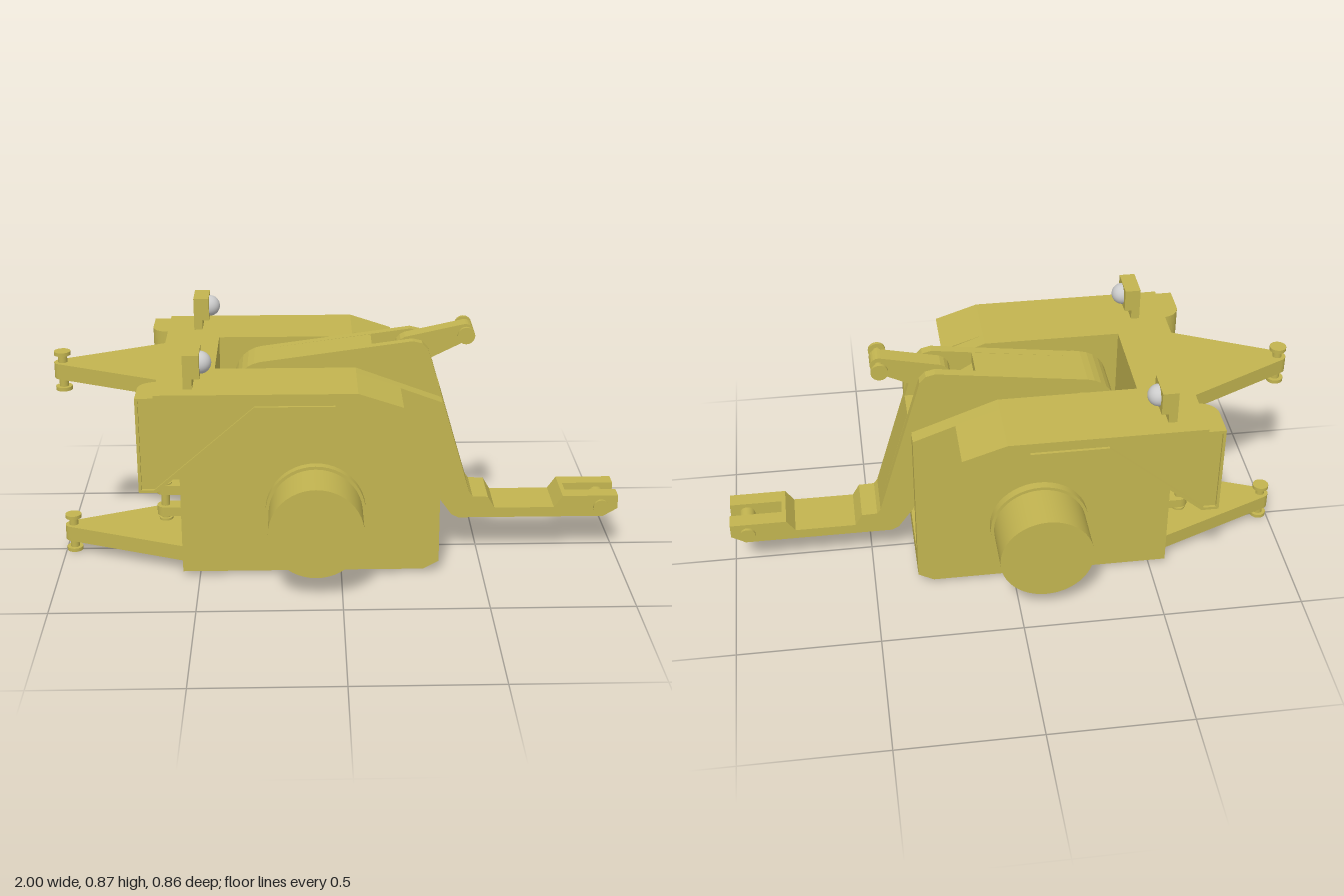
import * as THREE from 'three';

const paint = new THREE.MeshStandardMaterial({ color: 0xc2b450 });
const grey = new THREE.MeshStandardMaterial({ color: 0xcccccc });

const toShape = (pts) => new THREE.Shape(pts.map(([x, y]) => new THREE.Vector2(x, y)));

// Points on an arc, angles in degrees
function arc(cx, cy, r, a0, a1, n = 10) {
  return Array.from({ length: n + 1 }, (_, i) => {
    const a = THREE.MathUtils.degToRad(a0 + ((a1 - a0) * i) / n);
    return [cx + r * Math.cos(a), cy + r * Math.sin(a)];
  });
}

export function createModel() {
  const root = new THREE.Group();

  function add(name, geometry, material = paint) {
    const mesh = new THREE.Mesh(geometry, material);
    mesh.name = name;
    root.add(mesh);
    return mesh;
  }
  // Side profile (x, y) extruded from z0 to z1
  function slab(name, pts, z0, z1, hole) {
    const shape = toShape(pts);
    if (hole) shape.holes.push(toShape(hole));
    const g = new THREE.ExtrudeGeometry(shape, { depth: z1 - z0, bevelEnabled: false });
    return add(name, g.translate(0, 0, z0));
  }
  function slabPair(name, pts, z0, z1, hole) {
    slab(name, pts, z0, z1, hole);
    slab(name, pts, -z1, -z0, hole);
  }
  // Plan outline (x, z) extruded from y0 to y1
  function plate(name, pts, y0, y1) {
    const shape = toShape(pts.map(([x, z]) => [x, -z]));
    const g = new THREE.ExtrudeGeometry(shape, { depth: y1 - y0, bevelEnabled: false });
    return add(name, g.rotateX(-Math.PI / 2).translate(0, y0, 0));
  }
  function box(name, x0, x1, y0, y1, z0, z1) {
    const g = new THREE.BoxGeometry(x1 - x0, y1 - y0, z1 - z0);
    return add(name, g.translate((x0 + x1) / 2, (y0 + y1) / 2, (z0 + z1) / 2));
  }
  function cylZ(name, x, y, r, z0, z1, n = 32) {
    const g = new THREE.CylinderGeometry(r, r, z1 - z0, n).rotateX(Math.PI / 2);
    return add(name, g.translate(x, y, (z0 + z1) / 2));
  }
  function cylY(name, x, z, r, y0, y1) {
    const g = new THREE.CylinderGeometry(r, r, y1 - y0, 24);
    return add(name, g.translate(x, (y0 + y1) / 2, z));
  }

  // Chassis: two side walls and a middle with an open arm slot
  const base = [[-0.56, 0.015], [0.29, 0.015], [0.345, 0.045]];
  const back = [[-0.62, 0.755], [-0.62, 0.37], [-0.56, 0.37]];
  slabPair('chassisSide', [...base, [0.345, 0.645], [0.05, 0.755], ...back], 0.17, 0.225);
  slab('chassisMiddle', [...base, [0.345, 0.115], [-0.43, 0.115], [-0.43, 0.755], ...back], -0.17, 0.17);

  // Fenders: inner wall, pocketed core, outer skin, recessed side frame
  const top = [[0.2, 0.705], [0.05, 0.755], [-0.62, 0.755], [-0.62, 0.41]];
  const fender = [[-0.28, 0.705], ...top];
  const pocketed = [...fender, [-0.591, 0.435], [-0.6, 0.435], [-0.6, 0.66], [-0.332, 0.66]];
  const frame = [[-0.28, 0.705], [0.2, 0.705], [0.05, 0.755], [-0.62, 0.755], [-0.62, 0.745],
    [-0.68, 0.745], [-0.68, 0.41], [-0.62, 0.41]];
  const recess = [[-0.67, 0.735], [-0.15, 0.735], [-0.025, 0.72], [-0.025, 0.711],
    [-0.29, 0.711], [-0.627, 0.42], [-0.67, 0.42]];
  slabPair('fenderInnerWall', fender, 0.225, 0.27);
  slabPair('fenderCore', pocketed, 0.27, 0.41);
  slabPair('fenderSkin', fender, 0.41, 0.42);
  slabPair('fenderFrame', frame, 0.42, 0.43, recess);

  for (const s of [1, -1]) {
    // Rounded rear end of the fender
    const corner = arc(-0.62, 0.33, 0.06, 180, 270).map(([x, z]) => [x, s * z]);
    plate('fenderRear', [[-0.62, s * 0.42], [-0.68, s * 0.42], ...corner], 0.41, 0.745);

    // Axle hub
    const span = (a, b) => (s > 0 ? [a, b] : [-b, -a]);
    cylZ('hubRing', -0.09, 0.25, 0.175, ...span(0.225, 0.255), 48);
    cylZ('hub', -0.09, 0.25, 0.164, ...span(0.255, 0.43), 48);

    // Work light
    slab('lightBracket', [[-0.525, 0.755], [-0.495, 0.755], [-0.495, 0.79], [-0.47, 0.79],
      [-0.47, 0.872], [-0.525, 0.872]], ...span(0.26, 0.375));
    add('lightLens', new THREE.SphereGeometry(0.038, 32, 20).translate(-0.47, 0.83, s * 0.317), grey);

    // Small rear bracket with pin
    const z = s * 0.13;
    for (const y of [0.2, 0.282]) {
      box('rearBracket', -0.62, -0.56, y, y + 0.034, z - 0.03, z + 0.03);
      cylY('rearBracketEye', -0.62, z, 0.03, y, y + 0.034);
    }
    cylY('rearBracketPin', -0.62, z, 0.015, 0.182, 0.318);
    cylY('rearBracketPinHead', -0.62, z, 0.024, 0.18, 0.188);
    cylY('rearBracketPinHead', -0.62, z, 0.024, 0.31, 0.32);
  }

  // Upper and lower hitch tongues with vertical pins
  for (const [x, y] of [[-0.62, 0.67], [-0.56, 0.045]]) {
    plate('hitchTongue', [[x, -0.2], [x, 0.2], ...arc(-0.97, 0, 0.03, 116, 244)], y, y + 0.056);
    cylY('hitchPin', -0.97, 0, 0.016, y - 0.04, y + 0.095);
    cylY('hitchPinHead', -0.97, 0, 0.029, y - 0.045, y - 0.032);
    cylY('hitchPinHead', -0.97, 0, 0.029, y + 0.083, y + 0.096);
  }

  // Arm pivot tube across the slot
  cylZ('armPivot', -0.26, 0.637, 0.06, -0.17, 0.17);

  // Boom arm in layers: cheeks, pocketed sides and forked centre
  function armProfile(pocket, fork) {
    const knee = pocket
      ? [[0.11, 0.8], [0.11, 0.755], [0.2, 0.7], [0.2, 0.64], [0.349, 0.64]]
      : [[0.25, 0.82], [0.283, 0.812], [0.305, 0.788], [0.32, 0.735]];
    const end = fork
      ? [[0.815, 0.23], [0.815, 0.15]]
      : [[1, 0.23], [1, 0.18], [0.95, 0.15]];
    return [
      ...arc(-0.26, 0.637, 0.113, 275, 98, 14), ...knee,
      [0.462, 0.25], [0.475, 0.232], [0.53, 0.23], [0.555, 0.187], [0.77, 0.187], [0.8, 0.23],
      ...end, [0.425, 0.15], [0.4, 0.163], [0.345, 0.24], [0.24, 0.56], [0.2, 0.575],
    ];
  }
  slabPair('armCheek', armProfile(false, false), 0.055, 0.0875);
  slabPair('armSide', armProfile(true, false), 0.03, 0.055);
  slab('armCentre', armProfile(true, true), -0.03, 0.03);
  cylZ('armForkPin', 0.94, 0.187, 0.028, -0.098, 0.098);

  // Tilt link in the arm pocket, with its pins
  slab('tiltLink', [...arc(0.245, 0.765, 0.055, 110, 290), ...arc(0.437, 0.832, 0.03, -65, 105)], -0.029, 0.029);
  cylZ('tiltLinkPivot', 0.245, 0.765, 0.036, -0.055, 0.055);
  cylZ('tiltPin', 0.437, 0.832, 0.015, -0.07, 0.07);
  cylZ('tiltPinHead', 0.437, 0.832, 0.03, 0.06, 0.072);
  cylZ('tiltPinHead', 0.437, 0.832, 0.03, -0.072, -0.06);

  return root;
}
